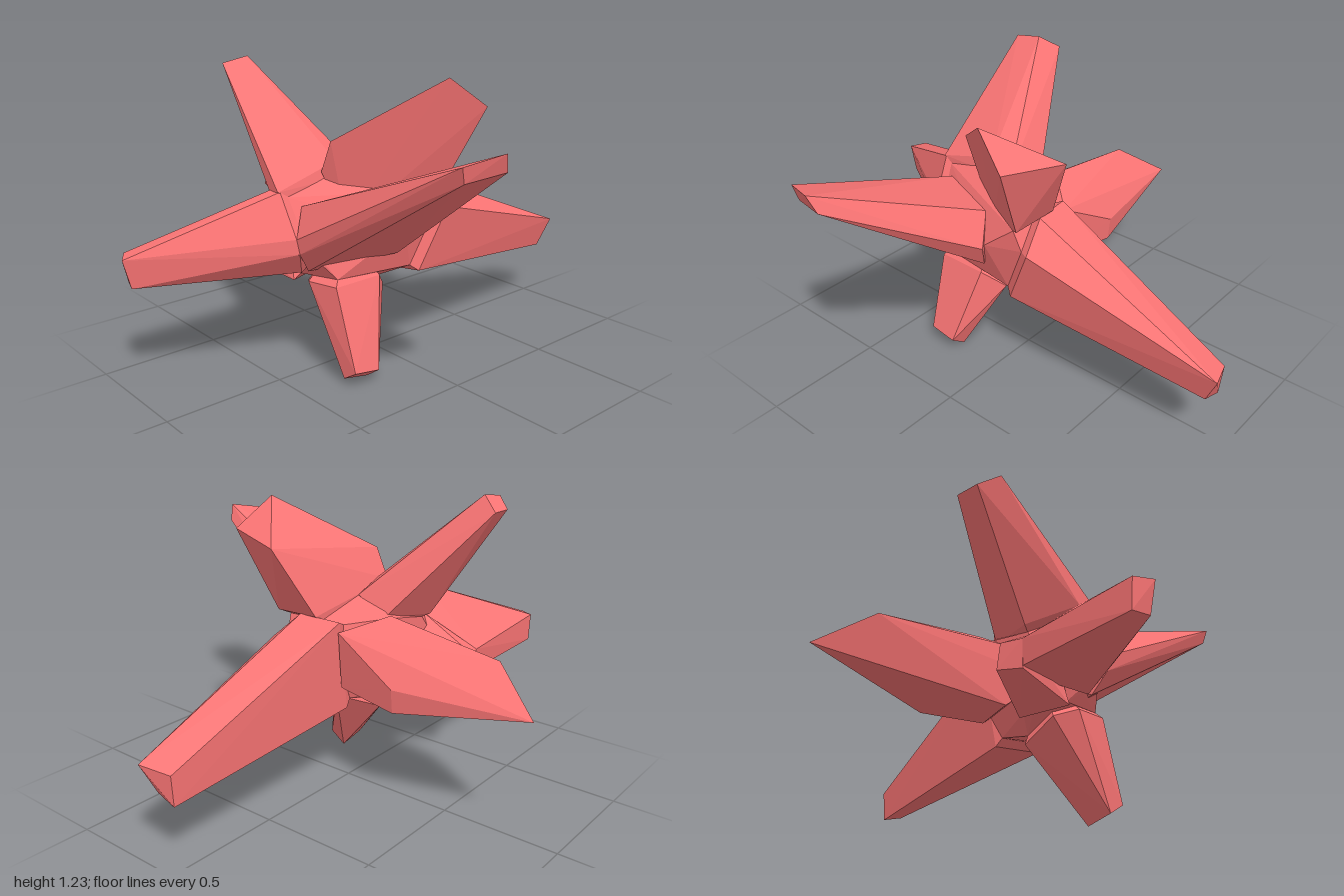
import * as THREE from 'three';
import { ConvexGeometry } from 'three/addons/geometries/ConvexGeometry.js';

// Each arm is a faceted taper: a base ring on the core and its outer corners.
const ARMS = {
  upperLeftArm: {
    base: [[0.04, 0.71, 0.4], [0.085, 0.6, 0.46], [0.09, 0.54, 0.45], [0.06, 0.45, 0.39], [0.21, 0.49, 0.06], [0.26, 0.6, 0.02], [0.15, 0.7, 0.1]],
    tip: [[0.9, 1.04, 0.23], [0.85, 1.01, 0.38], [0.84, 0.95, 0.36], [0.88, 0.97, 0.2]],
  },
  frontArm: {
    base: [[-0.06, 0.77, 0.46], [0, 0.77, 0.47], [0.085, 0.6, 0.46], [0.09, 0.54, 0.45], [0.03, 0.44, 0.4], [-0.2, 0.44, 0.38], [-0.2, 0.6, 0.38]],
    tip: [[-0.33, 0.555, 0.96], [-0.265, 0.55, 1], [-0.265, 0.43, 0.97], [-0.33, 0.435, 0.95], [-0.345, 0.53, 0.45], [-0.335, 0.43, 0.44]],
  },
  rightStub: {
    base: [[-0.13, 0.68, 0.35], [-0.05, 0.38, 0.38], [-0.14, 0.36, 0.2], [-0.12, 0.55, 0.14]],
    tip: [[-0.38, 0.53, 0.37], [-0.345, 0.53, 0.45], [-0.335, 0.42, 0.44], [-0.38, 0.43, 0.35]],
  },
  rightArm: {
    base: [[-0.2, 0.76, 0.02], [-0.06, 0.7, -0.14], [-0.06, 0.46, -0.12], [-0.14, 0.69, 0.14], [-0.14, 0.44, 0.12]],
    tip: [[-0.9, 0.53, -0.07], [-0.69, 0.68, 0.04], [-0.345, 0.54, -0.17], [-0.345, 0.44, -0.16]],
  },
  upperRightArm: {
    base: [[0, 0.85, 0.2], [0, 0.77, 0.48], [-0.07, 0.76, 0.47], [-0.2, 0.7, 0.3], [-0.14, 0.73, 0.06], [0.02, 0.79, 0.09]],
    tip: [[-0.43, 1.23, 0.31], [-0.43, 1.21, 0.43], [-0.5, 1.17, 0.37], [-0.51, 1.175, 0.26]],
  },
  topFin: {
    base: [[0.01, 0.82, 0.28], [0.05, 0.75, 0.21], [0.04, 0.75, -0.16], [0.21, 0.73, -0.08], [0.25, 0.74, -0.15]],
    tip: [[0.355, 1.19, -0.065], [0.41, 1.07, -0.22], [0.14, 1.04, -0.3], [0.07, 0.95, 0.28]],
  },
  backArm: {
    base: [[-0.06, 0.74, -0.13], [0.12, 0.75, -0.16], [0.24, 0.64, -0.19], [0.2, 0.38, -0.07], [-0.04, 0.345, -0.06]],
    tip: [[0.015, 0.38, -0.96], [0.14, 0.4, -1], [0.11, 0.275, -0.945], [0.02, 0.25, -0.95]],
  },
  foot: {
    base: [[0.17, 0.4, 0.34], [0.17, 0.4, 0.12], [0.1, 0.33, 0.04], [-0.06, 0.29, 0.14], [0.02, 0.39, 0.36], [-0.06, 0.36, 0.3]],
    tip: [[0.27, 0.07, 0.33], [0.27, 0.05, 0.21], [0.2, 0.025, 0.33], [0.2, 0, 0.21]],
  },
};
const CENTER = [0.03, 0.58, 0.17];

export function createModel() {
  const model = new THREE.Group();
  model.name = 'spikedStar';
  const material = new THREE.MeshStandardMaterial({ color: 0xfc7575 });
  const center = new THREE.Vector3(...CENTER);

  const addHull = (name, points) => {
    const mesh = new THREE.Mesh(new ConvexGeometry(points), material);
    mesh.name = name;
    model.add(mesh);
  };
  const toVectors = (points) => points.map((p) => new THREE.Vector3(...p));

  // Core between the arm bases, drawn in a little so the valleys stay pinched
  const bases = toVectors(Object.values(ARMS).flatMap((arm) => arm.base));
  addHull('core', bases.map((p) => p.lerp(center, 0.13)));

  // Arms, rooted at the middle of the core
  for (const [name, { base, tip }] of Object.entries(ARMS)) {
    addHull(name, toVectors([CENTER, ...base, ...tip]));
  }
  return model;
}
